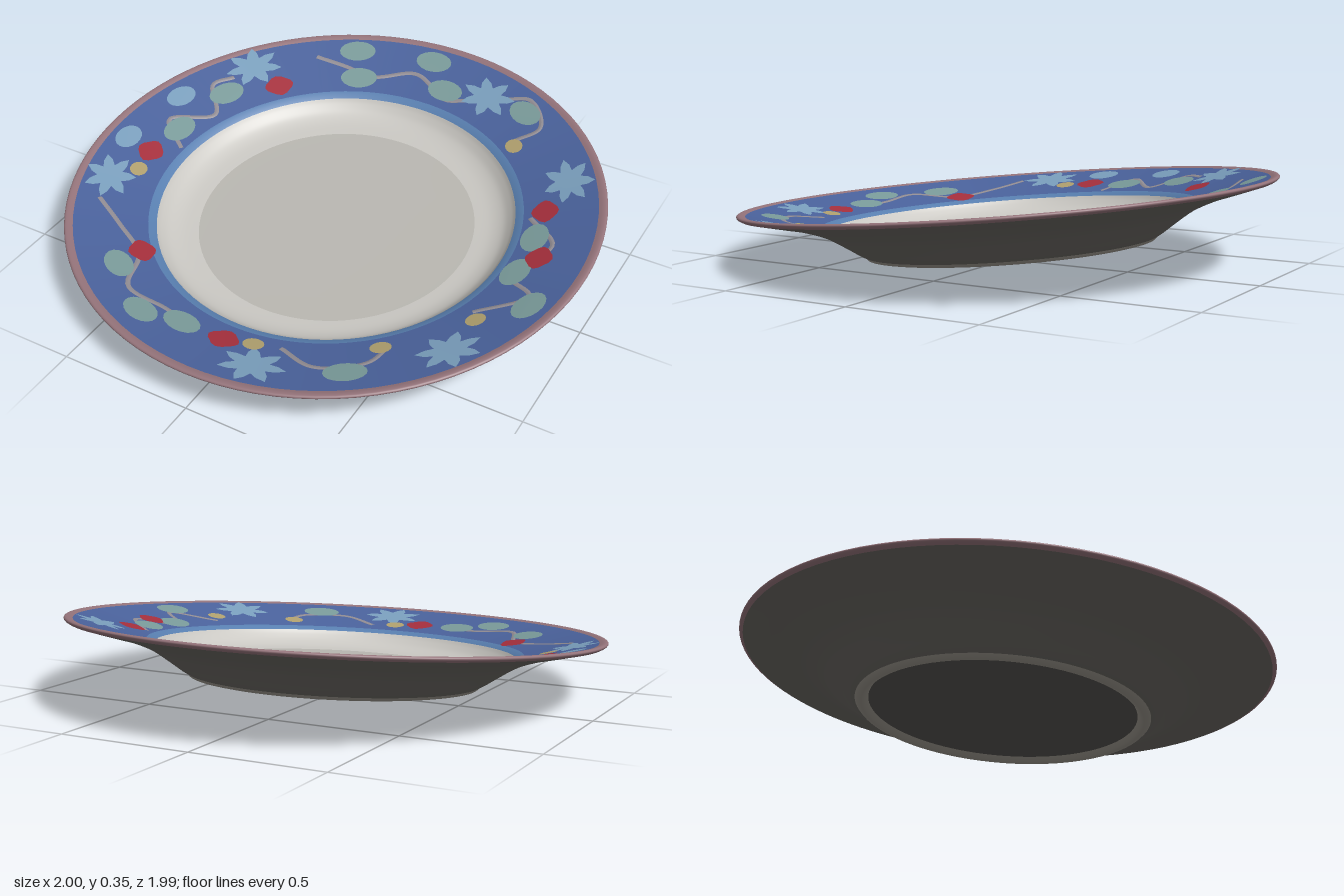
import * as THREE from 'three';

const SEGMENTS = 96;
const material = (color) => new THREE.MeshStandardMaterial({ color });

// Turned part; profile runs outwards underneath and inwards on top
function turned(name, color, points, smooth = false) {
  let profile = points.map(([r, y]) => new THREE.Vector2(r, y));
  if (smooth) profile = new THREE.SplineCurve(profile).getPoints(20);
  const mesh = new THREE.Mesh(new THREE.LatheGeometry(profile, SEGMENTS), material(color));
  mesh.name = name;
  return mesh;
}

// Height of the sloping rim at a position
const RIM_IN = 0.7, RIM_OUT = 0.968;
const rimHeight = (x, z) =>
  0.136 + (Math.hypot(x, z) - RIM_IN) / (RIM_OUT - RIM_IN) * (0.204 - 0.136);

// Painted motif: closed outline laid on the rim, long axis along the rim
function motif(name, mat, x, z, long, wide, lobes, depth, lift) {
  const outline = [], n = lobes ? lobes * 4 : 18;
  const turn = Math.atan2(x, z);
  for (let i = 0; i < n; i++) {
    const a = i / n * Math.PI * 2;
    const r = 1 - depth * (0.5 - 0.5 * Math.cos(lobes * a));
    outline.push(new THREE.Vector2(Math.cos(a) * long * r, Math.sin(a) * wide * r));
  }
  const geo = new THREE.ShapeGeometry(new THREE.Shape(outline));
  geo.rotateX(-Math.PI / 2).rotateY(turn).translate(x, 0, z);
  const p = geo.attributes.position;
  for (let i = 0; i < p.count; i++) {
    p.setY(i, rimHeight(p.getX(i), p.getZ(i)) + lift);
  }
  geo.computeVertexNormals();
  const mesh = new THREE.Mesh(geo, mat);
  mesh.name = name;
  return mesh;
}

// Painted stem, sunk almost fully into the rim
function vine(mat, points) {
  const curve = new THREE.CatmullRomCurve3(
    points.map(([x, z]) => new THREE.Vector3(x, 0, z)));
  const geo = new THREE.TubeGeometry(curve, 40, 0.01, 6);
  const p = geo.attributes.position;
  for (let i = 0; i < p.count; i++) {
    p.setY(i, rimHeight(p.getX(i), p.getZ(i)) + p.getY(i) * 0.2);
  }
  geo.computeVertexNormals();
  const mesh = new THREE.Mesh(geo, mat);
  mesh.name = 'vine';
  return mesh;
}

export function createModel() {
  const model = new THREE.Group();
  model.name = 'plate';

  // Body, from the recessed base up around the lip and into the well
  model.add(
    turned('base', 0x55534f, [[0, 0.02], [0.5, 0.02]]),
    turned('footRing', 0x98938a,
      [[0.5, 0.02], [0.512, 0.004], [0.525, 0], [0.54, 0.003], [0.55, 0.014]]),
    turned('underside', 0x6a6762,
      [[0.55, 0.014], [0.575, 0.028], [0.625, 0.062], [0.7, 0.108],
        [0.8, 0.145], [0.9, 0.17], [0.985, 0.191]], true),
    turned('lip', 0x94737a,
      [[0.985, 0.191], [0.997, 0.198], [1, 0.205], [0.994, 0.21],
        [0.982, 0.209], [RIM_OUT, 0.204]], true),
    turned('rim', 0x4a629c, [[RIM_OUT, 0.204], [RIM_IN, 0.136]]),
    turned('rimInnerBand', 0x587fb0, [[RIM_IN, 0.136], [0.685, 0.131], [0.67, 0.122]]),
    turned('wellWall', 0xcac8c3,
      [[0.67, 0.122], [0.655, 0.104], [0.625, 0.08], [0.58, 0.064], [0.52, 0.057]], true),
    turned('wellFloor', 0xb9b7b1, [[0.52, 0.057], [0.4, 0.055], [0, 0.055]])
  );

  // Painted decoration around the rim
  const decoration = new THREE.Group();
  decoration.name = 'rimDecoration';
  model.add(decoration);

  const stems = material(0x918c92);
  [
    [[-0.5, -0.73], [-0.37, -0.74], [-0.24, -0.74], [-0.08, -0.82], [0.09, -0.74], [0.17, -0.76]],
    [[0.3, -0.8], [0.42, -0.83], [0.52, -0.7], [0.45, -0.62]],
    [[0.68, -0.25], [0.82, -0.12], [0.72, 0.05], [0.85, 0.15], [0.7, 0.28]],
    [[0.2, 0.72], [0.35, 0.76], [0.5, 0.66], [0.52, 0.55]],
    [[-0.79, 0.4], [-0.65, 0.47], [-0.5, 0.56], [-0.42, 0.73], [-0.25, 0.75], [-0.1, 0.78]],
    [[-0.74, -0.46], [-0.79, -0.38], [-0.7, -0.25], [-0.83, -0.12], [-0.71, -0.02]]
  ].forEach((path) => decoration.add(vine(stems, path)));

  // name, colour, long and wide radius, lobes, lobe depth, lift, positions
  [
    ['greenLeaf', 0x7a9b9a, 0.075, 0.05, 0, 0, 0.003,
      [[-0.04, -0.9], [0.07, -0.78], [-0.36, -0.83], [-0.29, -0.71], [-0.72, -0.37],
        [-0.77, -0.1], [-0.52, 0.65], [-0.31, 0.81], [-0.16, 0.78], [0.46, 0.74],
        [0.87, 0.2], [0.75, 0.04], [0.74, -0.15], [0.43, -0.76]]],
    ['blueFlower', 0x7a9fbd, 0.12, 0.095, 7, 0.5, 0.002,
      [[0.25, -0.8], [-0.7, -0.55], [0.74, -0.46], [-0.83, 0.28], [0.17, 0.85], [0.72, 0.5]]],
    ['bluePetal', 0x7a9fbd, 0.065, 0.045, 0, 0, 0.002, [[-0.86, -0.25], [-0.9, 0.06]]],
    ['redBud', 0xa52f3c, 0.06, 0.05, 4, 0.15, 0.004,
      [[-0.56, -0.52], [0.72, -0.29], [0.8, -0.05], [-0.79, 0.07], [-0.5, 0.54], [0.01, 0.78]]],
    ['yellowBerry', 0xb0a06e, 0.038, 0.032, 0, 0, 0.004,
      [[0.46, -0.59], [0.5, 0.57], [0.73, 0.32], [-0.77, 0.18], [0.11, 0.75]]]
  ].forEach(([name, color, long, wide, lobes, depth, lift, places]) => {
    const mat = material(color);
    places.forEach(([x, z]) =>
      decoration.add(motif(name, mat, x, z, long, wide, lobes, depth, lift)));
  });

  // The plate leans down towards the front
  model.rotation.set(0.0925, 0, 0.006);
  model.position.set(0, 0.053, -0.018);

  const root = new THREE.Group();
  root.name = 'tiltedPlate';
  root.add(model);
  return root;
}
